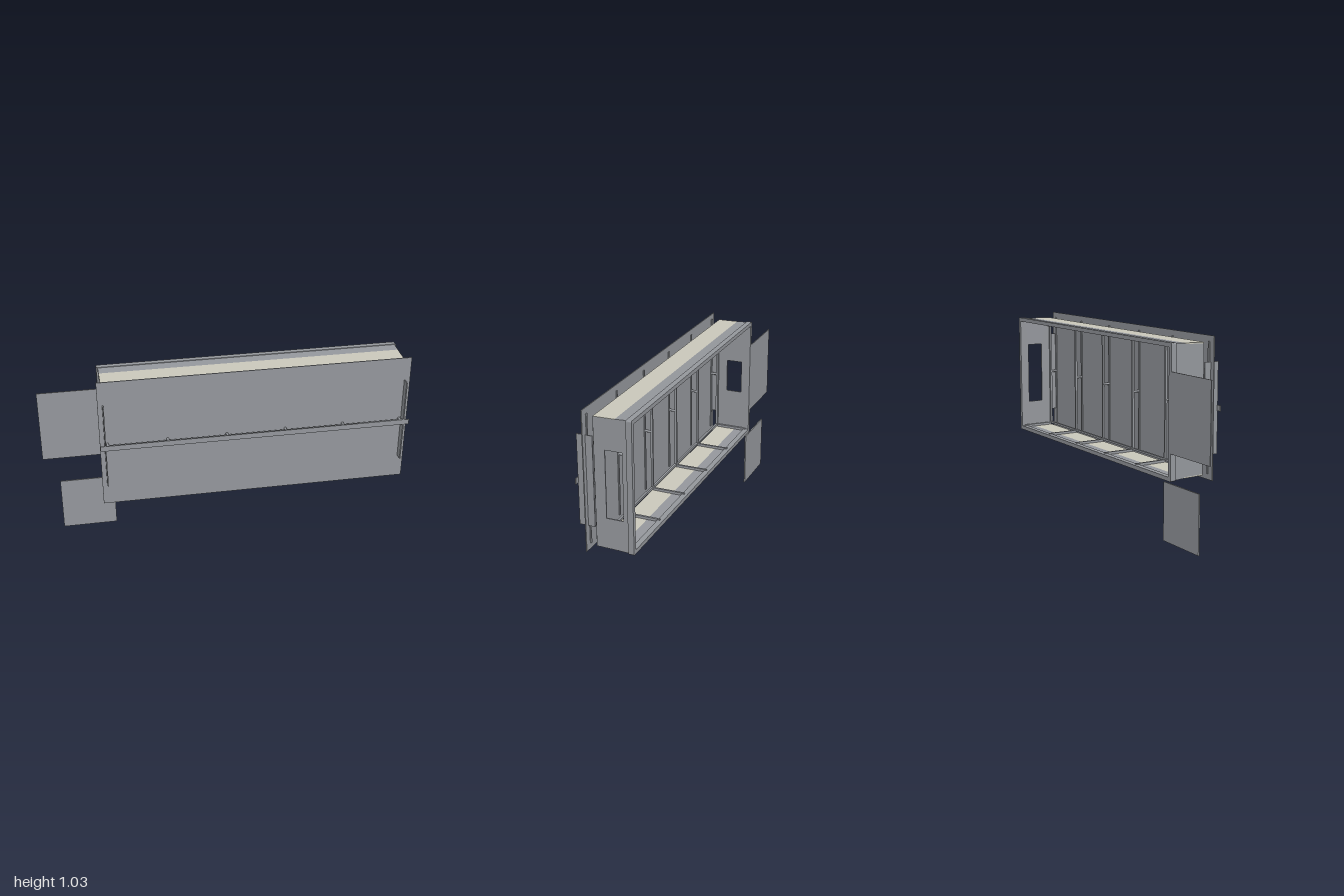
import * as THREE from 'three';

export function createModel() {
  const model = new THREE.Group();
  const grey = new THREE.MeshStandardMaterial({ color: 0x94979c });
  grey.name = 'steel grey';
  const beige = new THREE.MeshStandardMaterial({ color: 0xcac8bb });
  beige.name = 'warm beige';

  const add = (name, geometry, material = grey) => {
    const mesh = new THREE.Mesh(geometry, material);
    mesh.name = name;
    model.add(mesh);
    return mesh;
  };
  // Box given by its low and high corner on each axis
  const block = (name, [x0, x1], [y0, y1], [z0, z1], material) => {
    const g = new THREE.BoxGeometry(x1 - x0, y1 - y0, z1 - z0);
    g.translate((x0 + x1) / 2, (y0 + y1) / 2, (z0 + z1) / 2);
    return add(name, g, material);
  };
  const rect = (Type, x0, x1, y0, y1, r = 0) => {
    const p = new Type();
    p.moveTo(x0 + r, y0).lineTo(x1 - r, y0);
    if (r) p.quadraticCurveTo(x1, y0, x1, y0 + r);
    p.lineTo(x1, y1 - r);
    if (r) p.quadraticCurveTo(x1, y1, x1 - r, y1);
    p.lineTo(x0 + r, y1);
    if (r) p.quadraticCurveTo(x0, y1, x0, y1 - r);
    p.lineTo(x0, y0 + r);
    if (r) p.quadraticCurveTo(x0, y0, x0 + r, y0);
    return p;
  };
  const extrude = (shape, depth) =>
    new THREE.ExtrudeGeometry(shape, { depth, bevelEnabled: false, curveSegments: 4 });

  const L = -0.665, R = 0.975, MID = 0.665;
  const FRONT = 0.055, JOIN = -0.058, BACK = -0.12;

  // Top and bottom of the housing, flaring slightly to the rear
  const slab = (name, z0, z1, h0, h1, s, material) => {
    const t = 0.006;
    const p = new THREE.Shape([
      [-z0, MID + s * h0], [-z1, MID + s * h1],
      [-z1, MID + s * (h1 - t)], [-z0, MID + s * (h0 - t)],
    ].map(([x, y]) => new THREE.Vector2(x, y)));
    const g = extrude(p, R - L);
    g.rotateY(Math.PI / 2);
    g.translate(L, 0, 0);
    add(name, g, material);
  };
  for (const [s, side] of [[1, 'top'], [-1, 'bottom']]) {
    slab(side + 'FrontSlab', FRONT, JOIN, 0.340, 0.342, s, beige);
    slab(side + 'RearSlab', JOIN, BACK, 0.342, 0.345, s, grey);
  }

  // End walls with a window each; the right-hand one is shorter
  const endWall = (name, x, y0, y1) => {
    const p = rect(THREE.Shape, -FRONT, -BACK, MID - 0.34, MID + 0.34);
    p.holes.push(rect(THREE.Path, 0.002, 0.092, y0, y1));
    const g = extrude(p, 0.006);
    g.rotateY(Math.PI / 2);
    g.translate(x, 0, 0);
    add(name, g);
  };
  endWall('leftEndWall', R - 0.006, 0.487, 0.843);
  endWall('rightEndWall', L, 0.57, 0.76);

  // Rear rim and front rim around the open housing
  const rim = (name, grow, width, z, depth, r) => {
    const x0 = L - grow, x1 = R + grow, y0 = MID - 0.34 - grow, y1 = MID + 0.34 + grow;
    const p = rect(THREE.Shape, x0, x1, y0, y1, r);
    p.holes.push(rect(THREE.Path, x0 + width, x1 - width, y0 + width, y1 - width));
    const g = extrude(p, depth);
    g.translate(0, 0, z);
    add(name, g);
  };
  rim('rearRim', 0.008, 0.022, -0.147, 0.03, 0.008);
  rim('frontRim', -0.013, 0.012, 0.05, 0.012, 0);

  // Mullions, cross bars, panel ribs and the rods carrying the front panel
  const posts = [-0.65, -0.328, -0.007, 0.314, 0.635, 0.957];
  for (const x of posts) {
    const w = [x - 0.006, x + 0.006];
    block('mullion', w, [0.34, 0.99], [0.05, 0.062]);
    block('panelRib', w, [0.325, 1.005], [0.093, 0.0985]);
    block('topCrossBar', w, [0.986, 1.0], [-0.13, 0.052]);
    block('bottomCrossBar', w, [0.33, 0.344], [-0.13, 0.052]);
    const rod = new THREE.CylinderGeometry(0.007, 0.007, 0.08, 12);
    rod.rotateX(Math.PI / 2);
    rod.translate(x, MID + 0.003, 0.095);
    add('panelRod', rod);
  }

  // Front panel with its rail and end fins
  block('frontPanel', [-0.69, 1], [0.295, 1.035], [0.098, 0.103]);
  block('railBacking', [L, 0.972], [0.655, 0.676], [0.129, 0.143]);
  block('frontRail', [-0.69, 1], [0.65, 0.68], [0.142, 0.147]);
  for (const x of [-0.665, 0.968])
    block('endFin', [x, x + 0.006], [0.427, 0.903], [0.062, 0.145]);

  // Loose rear panels
  block('rearSidePanel', [-1, L], [0.46, 0.872], [-0.147, -0.142]);
  block('rearLowerPanel', [-0.915, -0.612], [0, 0.308], [-0.147, -0.14]);

  return model;
}
